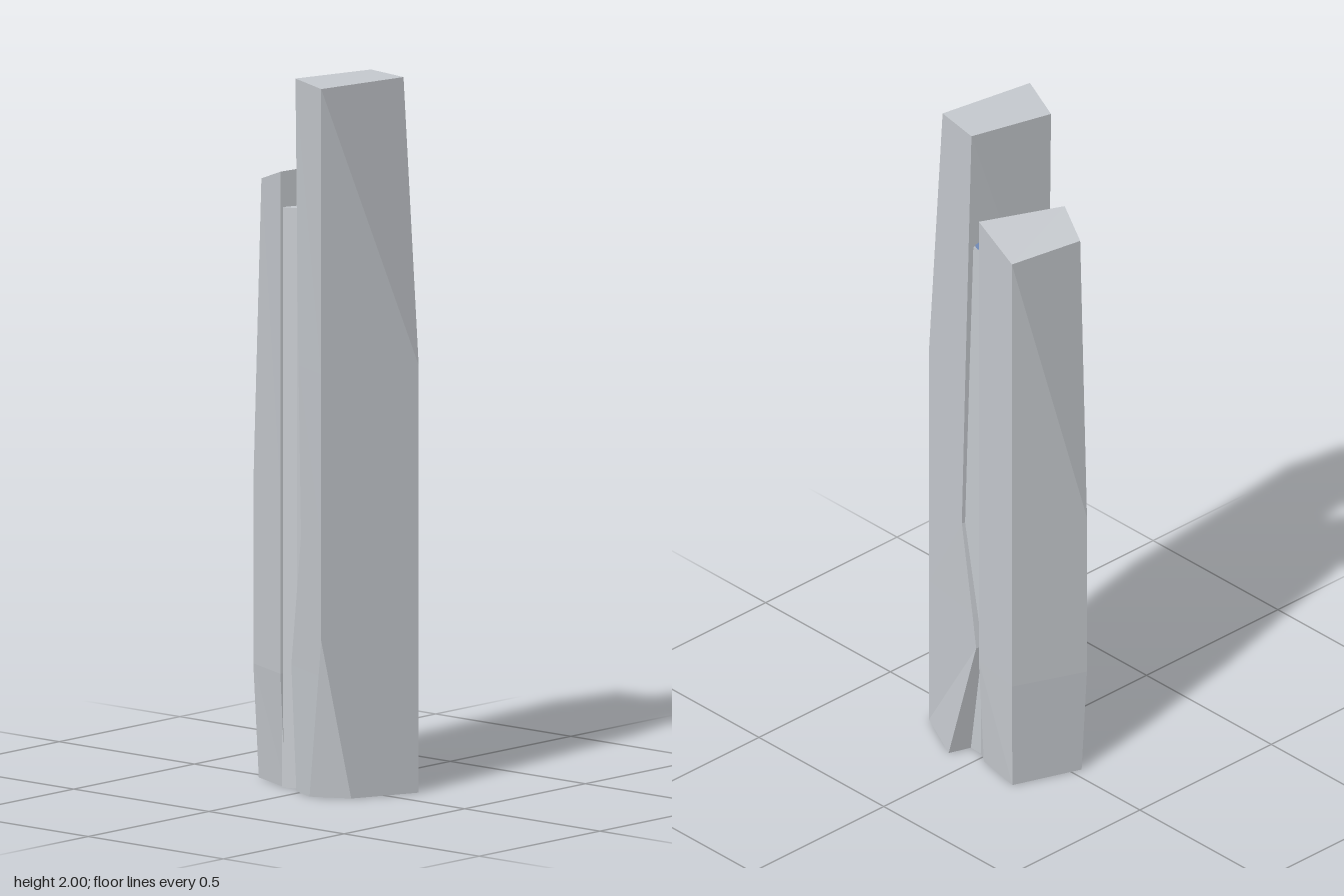
import * as THREE from 'three';

// Faceted closed solid lofted through rings of [x, y, z] corners, from low to high.
// Corners run back left, back right, front right, front left.
// Sides listed in flipped are split along the other diagonal.
function loft(rings, flipped = []) {
  const pos = [];
  const tri = (a, b, c) => {
    const t = new THREE.Triangle(...[a, b, c].map((p) => new THREE.Vector3(...p)));
    if (t.getArea() > 1e-9) pos.push(...a, ...b, ...c);
  };
  const n = rings[0].length;
  for (let r = 0; r < rings.length - 1; r++) {
    for (let i = 0; i < n; i++) {
      const j = (i + 1) % n;
      const a = rings[r][i], b = rings[r][j], c = rings[r + 1][j], d = rings[r + 1][i];
      if (flipped.includes(i)) { tri(a, d, b); tri(b, d, c); }
      else { tri(a, c, b); tri(a, d, c); }
    }
  }
  // end caps
  const cap = (ring, up) => {
    const flat = ring.map(([x, , z]) => new THREE.Vector2(x, -z));
    for (const [i, j, k] of THREE.ShapeUtils.triangulateShape(flat, [])) {
      const p = ring[i], q = ring[j], s = ring[k];
      const ccw = (flat[j].x - flat[i].x) * (flat[k].y - flat[i].y)
        - (flat[j].y - flat[i].y) * (flat[k].x - flat[i].x) > 0;
      if (ccw === up) tri(p, q, s); else tri(p, s, q);
    }
  };
  cap(rings[0], false);
  cap(rings[rings.length - 1], true);
  const g = new THREE.BufferGeometry();
  g.setAttribute('position', new THREE.Float32BufferAttribute(pos, 3));
  g.computeVertexNormals();
  return g;
}

// Ring of [x, z] corners at one height
const level = (y, pts) => pts.map(([x, z]) => [x, y, z]);

export function createModel() {
  const stone = new THREE.MeshStandardMaterial({ color: 0xc8ccd1 });
  stone.name = 'pale grey';
  const glass = new THREE.MeshStandardMaterial({ color: 0x7f9ccf });
  glass.name = 'blue glass';

  const model = new THREE.Group();
  model.name = 'twinSlabTower';
  const add = (name, geometry, material) => {
    const mesh = new THREE.Mesh(geometry, material);
    mesh.name = name;
    model.add(mesh);
  };

  // Tall front slab: pinched back edges, chamfered lower corner, tapering top
  const corner = [-0.18, 0.13], front = [0.095, 0.245];
  add('frontSlab', loft([
    level(0, [[-0.115, -0.02], [0.177, 0.08], front, [-0.095, 0.165], [-0.15, 0.06]]),
    level(0.35, [[-0.1, -0.052], [0.133, 0.016], front, [-0.161, 0.138], [-0.173, 0.114]]),
    level(0.45, [[-0.107, -0.036], [0.13, 0.034], front, corner, corner]),
    level(0.72, [[-0.126, 0.007], [0.122, 0.085], front, corner, corner]),
    level(1.2, [[-0.12, -0.008], [0.125, 0.068], front, corner, corner]),
    level(2, [[-0.11, -0.028], [0.13, 0.038], [0.105, 0.18], corner, corner]),
  ], [1]), stone);

  // Shorter back slab with a sloping roof
  const body = [[-0.038, -0.248], [0.167, -0.163], [0.14, -0.002], [-0.105, -0.088]];
  add('backSlab', loft([
    level(0, [[-0.03, -0.235], [0.165, -0.163], [0.136, -0.018], [-0.092, -0.082]]),
    level(0.32, body),
    level(0.82, body),
    [[-0.055, 1.69, -0.203], [0.167, 1.69, -0.163], [0.14, 1.745, -0.002], [-0.105, 1.73, -0.088]],
  ]), stone);

  // Recessed core joining the slabs, notched at both ends
  const core = [[-0.098, -0.088], [0.128, -0.01], [0.115, 0.015],
    [0.112, 0.095], [-0.105, 0.03], [-0.085, -0.045]];
  add('core', loft([level(0, core), level(1.63, core)]), stone);

  // Glazed roof light in the gap, sloping down towards the front slab
  add('roofLight', loft([
    level(1.6, [[-0.045, -0.07], [0.12, -0.012], [0.112, 0.04], [-0.05, -0.01]]),
    [[-0.045, 1.7, -0.07], [0.12, 1.69, -0.012], [0.112, 1.64, 0.04], [-0.05, 1.64, -0.01]],
  ]), glass);

  return model;
}
